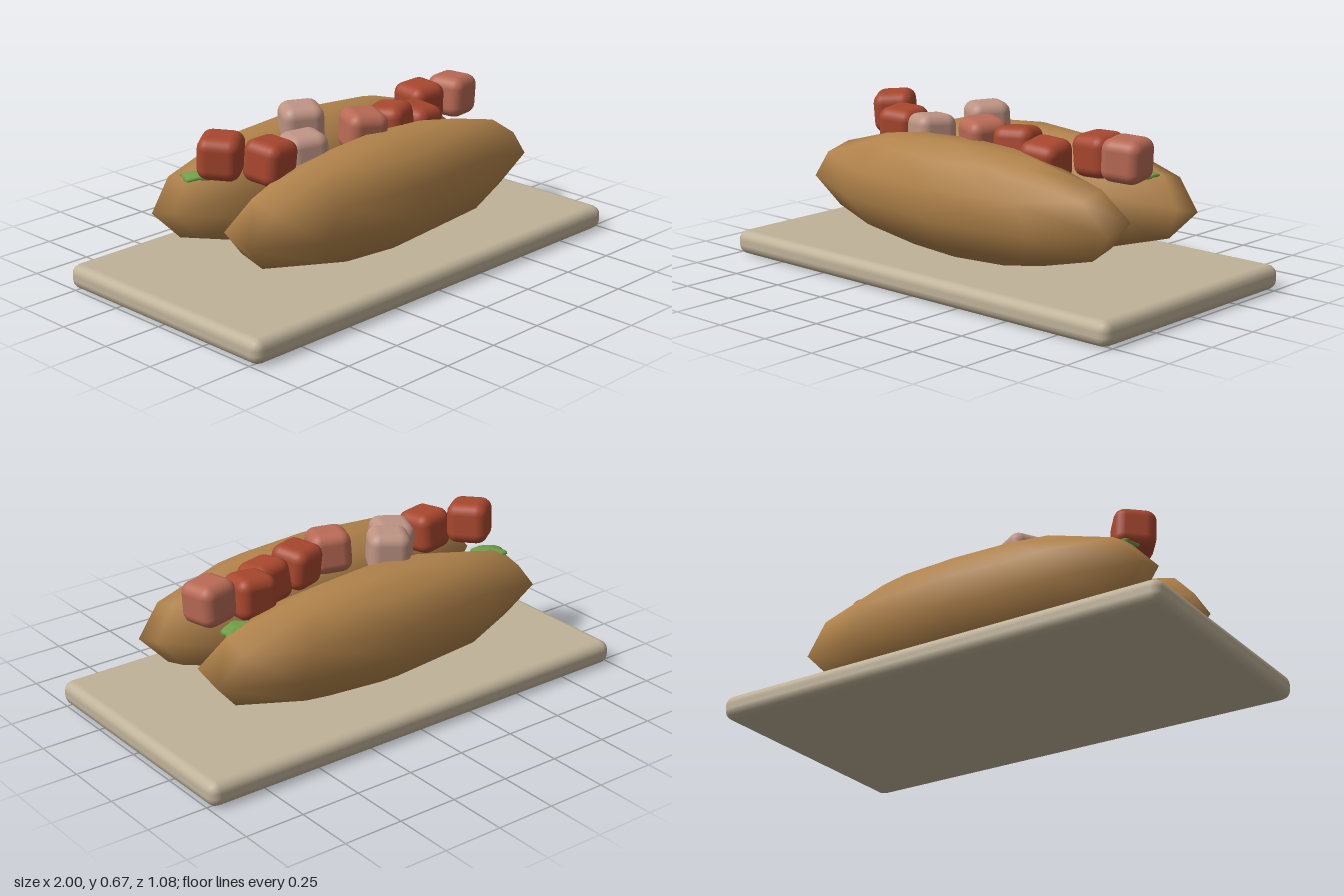
import * as THREE from 'three';
import { RoundedBoxGeometry } from 'three/addons/geometries/RoundedBoxGeometry.js';

const paint = (color) => new THREE.MeshStandardMaterial({ color });
const BOARD = paint(0xbfb299);
const BUN = paint(0xb0824a);
const RED = paint(0xa8472e);
const SALMON = paint(0xb86a55);
const PINK = paint(0xbe9484);
const GREEN = paint(0x6f9e48);

function add(group, name, geometry, material, position, rotation = [0, 0, 0]) {
  const mesh = new THREE.Mesh(geometry, material);
  mesh.name = name;
  mesh.position.set(...position);
  mesh.rotation.set(...rotation);
  group.add(mesh);
  return mesh;
}

// Flat leaf with a ruffled outline
function leafGeometry() {
  const geometry = new THREE.SphereGeometry(1, 20, 6);
  const p = geometry.attributes.position;
  for (let i = 0; i < p.count; i++) {
    const angle = Math.atan2(p.getZ(i), p.getX(i));
    const ruffle = 1 + 0.12 * Math.cos(5 * angle);
    p.setXYZ(i, p.getX(i) * 0.075 * ruffle,
      p.getY(i) * 0.014 + 0.004 * Math.sin(4 * angle) * Math.hypot(p.getX(i), p.getZ(i)),
      p.getZ(i) * 0.058 * ruffle);
  }
  geometry.computeVertexNormals();
  return geometry;
}

export function createModel() {
  const model = new THREE.Group();
  model.name = 'filledBunOnBoard';

  // Serving board
  add(model, 'board', new RoundedBoxGeometry(2, 0.1, 1.08, 2, 0.04), BOARD, [0, 0.05, 0]);

  // Two bun halves: coarse ellipsoids rolled outwards
  const bun = new THREE.SphereGeometry(1, 10, 6, Math.PI / 10);
  bun.scale(0.83, 0.243, 0.22);
  for (const side of [1, -1]) {
    add(model, side > 0 ? 'frontBun' : 'backBun', bun, BUN,
      [0, 0.34, side * 0.208], [side * 0.26, 0, 0]);
  }

  // Chunks of filling: x, y, z, material, then tilt, turn and roll
  const chunk = new RoundedBoxGeometry(0.17, 0.17, 0.17, 3, 0.045);
  const chunks = [
    [-0.63, 0.577, -0.045, RED, 0.05, 0.65, 0.03],
    [-0.475, 0.543, 0.06, RED, 0.08, 0.15, -0.06],
    [-0.305, 0.535, 0.07, PINK, -0.05, -0.4, 0.05],
    [-0.155, 0.583, -0.1, PINK, 0.04, -0.55, 0.05],
    [0.0, 0.562, 0.09, SALMON, 0.06, -0.4, -0.04],
    [0.17, 0.548, 0.075, RED, -0.1, 0.35, 0.06],
    [0.32, 0.515, 0.08, RED, 0.15, 0.12, -0.1],
    [0.48, 0.545, -0.05, RED, 0.06, -0.05, 0.05],
    [0.645, 0.553, -0.015, SALMON, 0.03, 0.2, -0.05],
  ];
  chunks.forEach(([x, y, z, material, ...turn], i) =>
    add(model, `fillingChunk${i + 1}`, chunk, material, [x, y, z], turn));

  // Leaves peeking out at both ends
  const leaf = leafGeometry();
  add(model, 'rightLeaf', leaf, GREEN, [-0.64, 0.472, -0.16], [0, -0.4, 0.08]);
  add(model, 'leftLeaf', leaf, GREEN, [0.61, 0.47, -0.15], [0, 0.6, -0.08]);

  return model;
}
